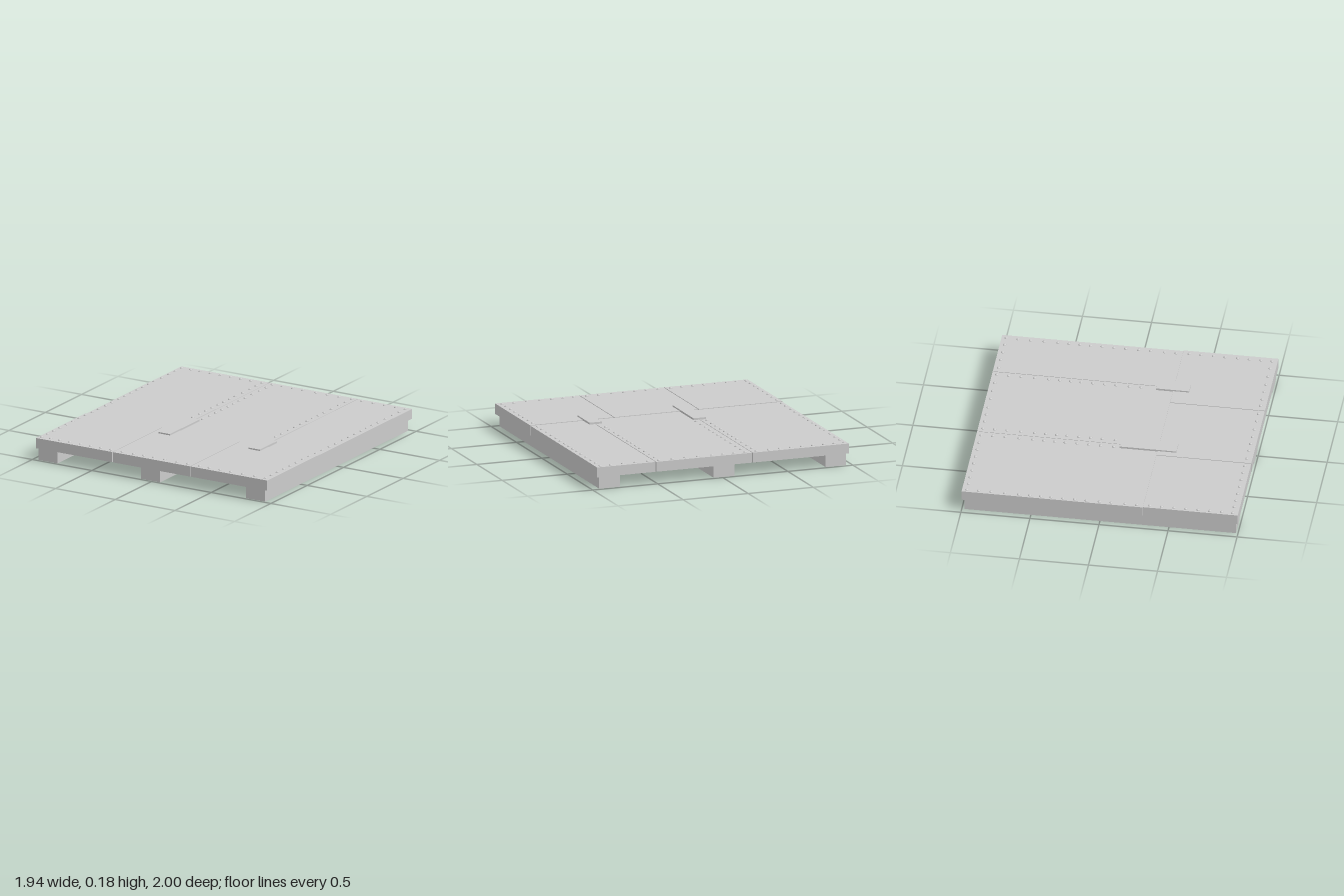
import * as THREE from 'three';

const material = new THREE.MeshStandardMaterial({ color: 0xcccccc });

export function createModel() {
  const model = new THREE.Group();

  // Box given by its limits on each axis
  function slab(name, x0, x1, y0, y1, z0, z1) {
    const mesh = new THREE.Mesh(new THREE.BoxGeometry(x1 - x0, y1 - y0, z1 - z0), material);
    mesh.position.set((x0 + x1) / 2, (y0 + y1) / 2, (z0 + z1) / 2);
    mesh.name = name;
    model.add(mesh);
  }

  // Support beams underneath
  for (const [x0, x1] of [[-0.955, -0.797], [-0.097, 0.063], [0.782, 0.942]])
    slab('supportBeam', x0, x1, 0, 0.09, -0.98, 0.985);

  // Long rear panels and short front panels, with narrow seams
  const backTop = 0.163, frontTop = 0.167, under = 0.09;
  for (const [x0, x1] of [[-0.969, -0.23], [-0.226, 0.511], [0.516, 0.966]])
    slab('rearPanel', x0, x1, under, backTop, -1, 0.312);
  for (const [x0, x1] of [[-0.97, -0.33], [-0.324, 0.32], [0.326, 0.969]])
    slab('frontPanel', x0, x1, under, frontTop, 0.314, 1);

  // Patch plates covering the seam junctions
  slab('patchPlate', -0.276, -0.181, 0.16, 0.177, 0.04, 0.45);
  slab('patchPlate', 0.465, 0.56, 0.16, 0.177, 0.19, 0.43);

  // Rivets: rounded heads on the upper and lower faces
  const rivets = new THREE.Group();
  rivets.name = 'rivets';
  model.add(rivets);
  const head = new THREE.SphereGeometry(0.0125, 10, 4, 0, Math.PI * 2, 0, Math.PI / 2);
  head.scale(1, 0.75, 1);
  function rivet(x, z) {
    const top = new THREE.Mesh(head, material);
    top.position.set(x, z > 0.312 ? frontTop : backTop, z);
    const bottom = new THREE.Mesh(head, material);
    bottom.position.set(x, under, z);
    bottom.rotation.x = Math.PI;
    top.name = 'rivetTop';
    bottom.name = 'rivetBottom';
    rivets.add(top, bottom);
  }

  const sideZ = [-0.88, -0.79, -0.69, -0.51, -0.43, -0.355, -0.185, -0.1, -0.005, 0.08,
    -0.59, -0.27, 0.18, 0.265, 0.36, 0.445, 0.535, 0.62, 0.71, 0.795, 0.88].sort((a, b) => a - b);
  const backX = [-0.945, -0.87, -0.79, -0.705, -0.62, -0.535, -0.45, -0.365, -0.27, -0.185, -0.1,
    -0.015, 0.07, 0.18, 0.275, 0.375, 0.48, 0.565, 0.66, 0.755, 0.85, 0.93];
  const frontX = [-0.945, -0.87, -0.795, -0.71, -0.62, -0.535, -0.45, -0.365, -0.27, -0.175, -0.09,
    -0.005, 0.085, 0.19, 0.28, 0.38, 0.46, 0.55, 0.64, 0.74, 0.84, 0.93];

  // Rows along the edges
  backX.forEach(x => rivet(x, -0.965));
  frontX.forEach(x => rivet(x, 0.96));
  // Columns along the sides and beside the rear seams, each up to its last z
  for (const [x, end] of [[-0.945, 1], [0.93, 1], [-0.267, 0], [-0.185, 0], [0.478, 0.1]])
    sideZ.filter(z => z < end).forEach(z => rivet(x, z));

  return model;
}
